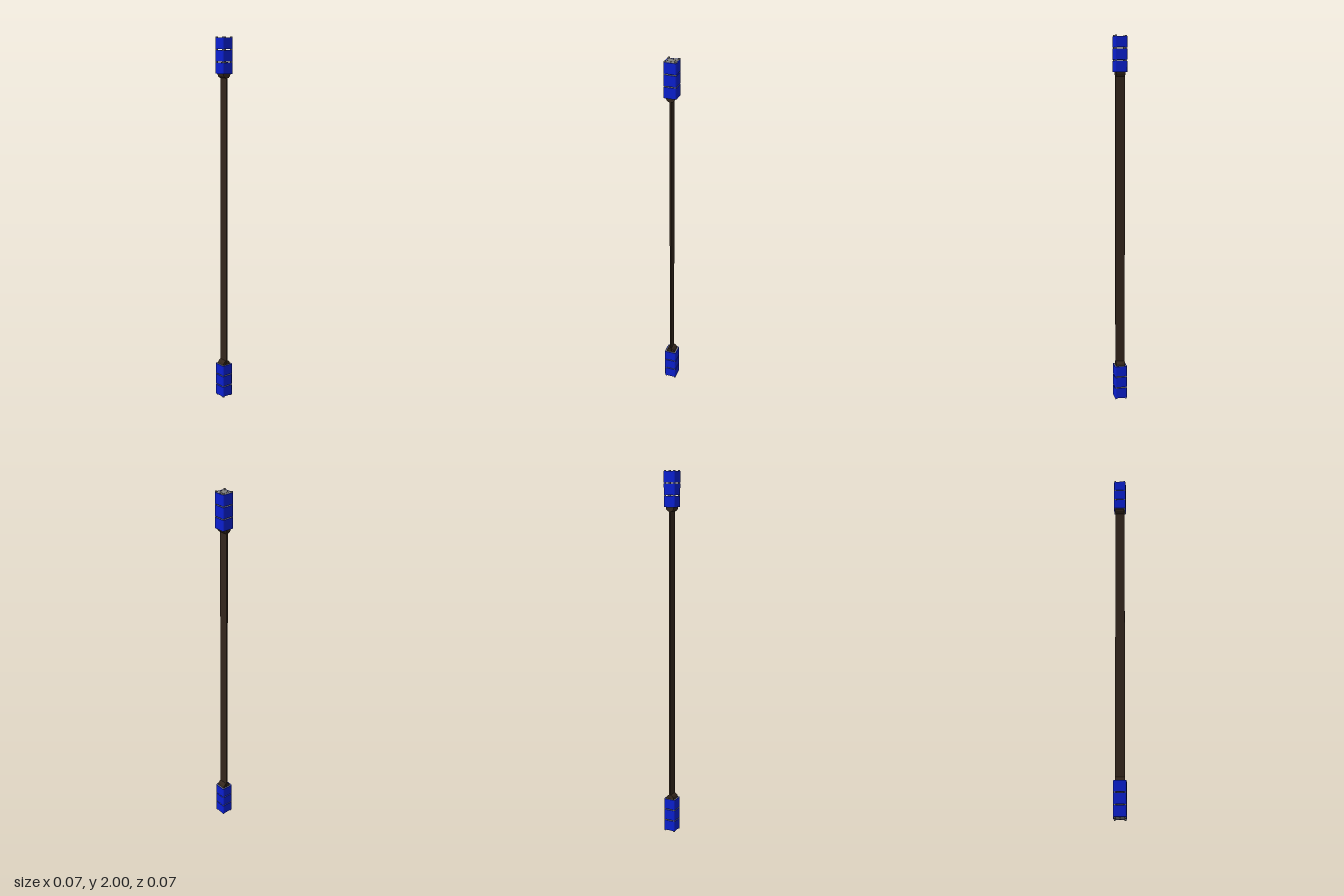
import * as THREE from 'three';

const mat = (color) => new THREE.MeshStandardMaterial({ color, flatShading: true });
const blue = mat(0x0a1fd0), grey = mat(0x808080), darkGrey = mat(0x444444), brown = mat(0x33261c);

const PITCH = 0.0635, PEG = 0.006, WIDTH = 0.068;

function add(parent, name, geometry, material, x = 0, y = 0, z = 0) {
  const mesh = new THREE.Mesh(geometry, material);
  mesh.name = name;
  mesh.position.set(x, y, z);
  parent.add(mesh);
  return mesh;
}

// Square with rounded corners, extruded upwards from y = 0
function roundedPrism(width, radius, height, holeWidth = 0) {
  const outline = (target, w, r) => {
    const h = w / 2, c = h - r;
    target.absarc(c, c, r, 0, Math.PI / 2);
    target.absarc(-c, c, r, Math.PI / 2, Math.PI);
    target.absarc(-c, -c, r, Math.PI, Math.PI * 1.5);
    target.absarc(c, -c, r, Math.PI * 1.5, Math.PI * 2);
    return target;
  };
  const shape = outline(new THREE.Shape(), width, radius);
  if (holeWidth) shape.holes.push(outline(new THREE.Path(), holeWidth, 0.003));
  const g = new THREE.ExtrudeGeometry(shape, { depth: height, bevelEnabled: false, curveSegments: 4 });
  return g.rotateX(-Math.PI / 2);
}

// One block: blue sleeve, grey core and the fittings on its outer face
function createBlock() {
  const block = new THREE.Group();
  block.name = 'block';
  const height = PITCH - PEG;
  add(block, 'sleeve', roundedPrism(WIDTH, 0.008, height, 0.061), blue);
  add(block, 'core', new THREE.BoxGeometry(0.061, height - 0.001, 0.061), grey, 0, height / 2, 0);
  add(block, 'centrePad', new THREE.BoxGeometry(0.03, 0.0015, 0.03), grey, 0, height, 0);
  for (const x of [-1, 1]) for (const z of [-1, 1]) {
    add(block, 'cornerPeg', new THREE.BoxGeometry(0.009, PEG + 0.002, 0.009), grey,
      x * 0.027, height + PEG / 2 - 0.001, z * 0.027);
  }
  // Small arrow markers pointing outwards from the pad
  for (let i = 0; i < 4; i++) {
    const arrow = add(block, 'arrowMarker', new THREE.CylinderGeometry(0.004, 0.004, 0.0015, 3), darkGrey);
    const a = i * Math.PI / 2;
    arrow.position.set(Math.sin(a) * 0.023, height, Math.cos(a) * 0.023);
    arrow.rotation.y = a;
  }
  return block;
}

// Three stacked blocks with the strap roller underneath
function createEnd() {
  const end = new THREE.Group();
  for (let i = 0; i < 3; i++) {
    const block = createBlock();
    block.position.y = 0.81 + i * PITCH;
    end.add(block);
  }
  const roller = add(end, 'strapRoller', new THREE.CylinderGeometry(0.024, 0.024, 0.05, 12), brown, 0, 0.81, 0);
  roller.rotation.z = Math.PI / 2;
  return end;
}

export function createModel() {
  const model = new THREE.Group();
  model.name = 'strapWithBlockEnds';
  const top = createEnd();
  top.name = 'topEnd';
  top.position.y = 1;
  const bottom = createEnd();
  bottom.name = 'bottomEnd';
  bottom.rotation.x = Math.PI;
  bottom.position.y = 1;
  model.add(top, bottom);
  add(model, 'strap', new THREE.BoxGeometry(0.052, 1.62, 0.008), brown, 0, 1, 0);
  return model;
}
